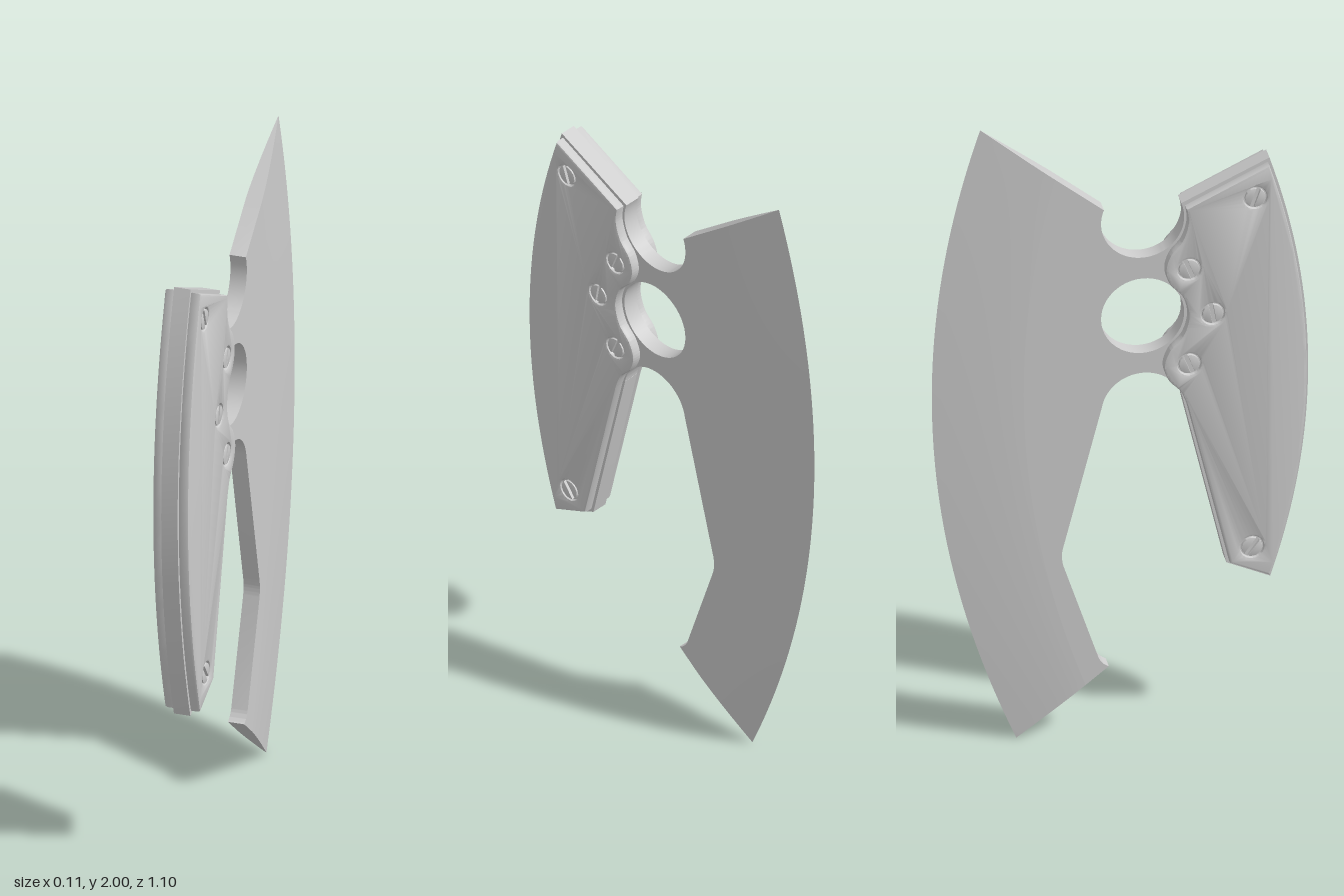
import * as THREE from 'three';
import { toCreasedNormals, mergeGeometries } from 'three/addons/utils/BufferGeometryUtils.js';

const HALF = 0.025;          // half thickness of the steel plate
const GRIND = 0.265;         // width of the ground bevel
const ROWS = 64;
const TOP = 1.83, BOTTOM = 0.165;   // ends of the line where the grind starts

const edgeZ = y => -0.55 + (y - 1.139) ** 2 / 5.23;   // cutting edge
const backZ = y => 0.55 - 0.24 * (y - 1.15) ** 2;     // back of the handle
const lerp = THREE.MathUtils.lerp;
const steel = new THREE.MeshStandardMaterial({ color: 0xcccccc });

const screws = [[0.39, 1.725, 1.9], [0.196, 1.51, 1.2], [0.265, 1.358, 1.4], [0.196, 1.2, 1.2], [0.38, 0.583, 2.2]];

function mesh(name, geometry) {
  const m = new THREE.Mesh(geometry, steel);
  m.name = name;
  return m;
}

// Extrudes a (z, y) shape sideways so that it spans x0..x1
function slab(shape, x0, x1, bevel = 0) {
  const g = new THREE.ExtrudeGeometry(shape, {
    depth: x1 - x0 - 2 * bevel, curveSegments: 24, steps: 1,
    bevelEnabled: bevel > 0, bevelThickness: bevel, bevelSize: bevel, bevelOffset: -bevel, bevelSegments: 2,
  });
  g.translate(0, 0, -(x1 - x0 - 2 * bevel) / 2);
  g.rotateY(-Math.PI / 2);
  g.translate((x0 + x1) / 2, 0, 0);
  return toCreasedNormals(g, 0.5);
}

function circle(z, y, r) {
  return new THREE.Path().absarc(z, y, r, 0, Math.PI * 2, false);
}

// Follows the curved handle back from y0 to y1
function addBack(shape, y0, y1, inset) {
  for (let i = 0; i <= 32; i++) {
    const y = lerp(y0, y1, i / 32);
    shape.lineTo(backZ(y) - inset, y);
  }
}

// Flat part of the steel: blade body, necks, finger notches and tang
function plateGeometry() {
  const s = new THREE.Shape();
  s.moveTo(edgeZ(TOP) + GRIND, TOP);
  s.lineTo(-0.05, 1.715);
  s.absarc(0.064, 1.67, 0.122, Math.PI - 0.376, 0.376, false);
  addBack(s, 1.838, 0.468, 0);
  s.lineTo(0.31, 0.525);
  s.lineTo(0.183, 1.07);
  s.absarc(0.064, 1.05, 0.121, 0.17, Math.PI - 0.17, false);
  s.lineTo(-0.167, 0.63);
  s.quadraticCurveTo(-0.178, 0.595, -0.168, 0.56);
  s.lineTo(-0.065, 0.25);
  s.quadraticCurveTo(-0.055, 0.228, -0.035, 0.22);
  for (let i = ROWS; i > 0; i--) {
    const y = lerp(TOP, BOTTOM, i / ROWS);
    s.lineTo(edgeZ(y) + GRIND, y);
  }
  s.holes.push(circle(0.064, 1.358, 0.122));
  return slab(s, -HALF, HALF);
}

// Ground part of the blade, lofted from the flat to the cutting edge
function grindGeometry() {
  const K = 10, M = 2 * K + 1, pos = [], index = [];
  for (let i = 0; i <= ROWS; i++) {
    const yIn = lerp(TOP, BOTTOM, i / ROWS), yOut = lerp(2, 0, i / ROWS);
    for (let j = 0; j < M; j++) {
      const t = 1 - Math.abs(j - K) / K;           // 0 at the flat, 1 at the edge
      const half = HALF * (1 - t ** 1.4);
      pos.push(Math.sign(K - j) * half, lerp(yIn, yOut, t), lerp(edgeZ(yIn) + GRIND, edgeZ(yOut), t));
    }
  }
  for (let i = 0; i < ROWS; i++) {
    for (let j = 0; j < M - 1; j++) {
      const a = i * M + j, c = a + M;
      index.push(a, c, a + 1, a + 1, c, c + 1);
    }
  }
  // Top and bottom end walls
  const low = ROWS * M;
  for (let j = 0; j < K; j++) {
    const p = j, q = M - 1 - j;
    index.push(p, p + 1, q, low + p, low + q, low + p + 1);
    if (j < K - 1) index.push(p + 1, q - 1, q, low + p + 1, low + q, low + q - 1);
  }
  const g = new THREE.BufferGeometry();
  g.setAttribute('position', new THREE.Float32BufferAttribute(pos, 3));
  g.setIndex(index);
  return toCreasedNormals(g, 0.5);
}

// Outline of a handle scale, with lobes around the finger hole
function scaleShape() {
  const s = new THREE.Shape();
  s.moveTo(0.188, 1.708);
  s.splineThru([
    [0.192, 1.66], [0.175, 1.605], [0.14, 1.56], [0.127, 1.51], [0.142, 1.462], [0.178, 1.42], [0.194, 1.358],
    [0.178, 1.296], [0.139, 1.25], [0.122, 1.2], [0.137, 1.15], [0.172, 1.11], [0.192, 1.06],
  ].map(p => new THREE.Vector2(...p)));
  s.lineTo(0.316, 0.535);
  addBack(s, 0.483, 1.826, 0.009);
  for (const [z, y] of screws) s.holes.push(circle(z, y, 0.034));
  return s;
}

// Slotted screw running through the handle, with a head on both sides
function screw(z, y, slotAngle) {
  const group = new THREE.Group();
  group.name = 'screw';
  const halves = [0, Math.PI].map(turn => {
    const a = Math.asin(0.2);
    const s = new THREE.Shape().absarc(0, 0, 0.03, turn + a, turn + Math.PI - a, false);
    return slab(s, -0.053, 0.053, 0.002);
  });
  const heads = mergeGeometries(halves);
  heads.rotateX(slotAngle);
  const core = new THREE.CylinderGeometry(0.037, 0.037, 0.088, 32);
  core.rotateZ(Math.PI / 2);
  group.add(mesh('screwHeads', heads), mesh('screwCore', core));
  group.position.set(0, y, z);
  return group;
}

export function createModel() {
  const model = new THREE.Group();
  model.name = 'handAxe';
  model.add(mesh('bladePlate', plateGeometry()), mesh('bladeEdge', grindGeometry()));
  const shape = scaleShape();
  model.add(mesh('leftHandleScale', slab(shape, 0.02, 0.055, 0.008)));
  model.add(mesh('rightHandleScale', slab(shape, -0.055, -0.02, 0.008)));
  for (const [z, y, angle] of screws) model.add(screw(z, y, angle));
  return model;
}
